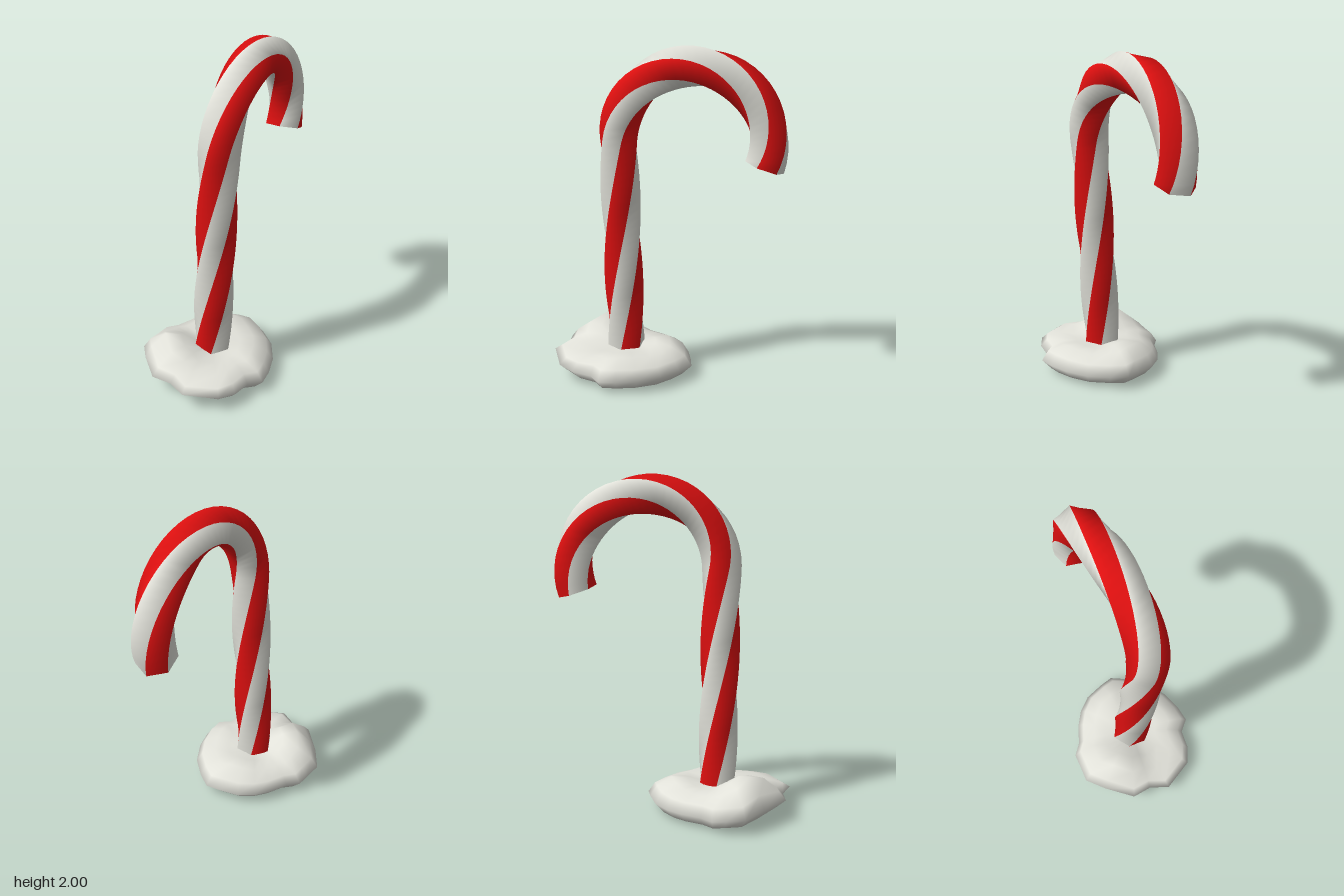
import * as THREE from 'three';

const red = new THREE.MeshStandardMaterial({ color: 0xe01010 });
red.name = 'stripe red';
const white = new THREE.MeshStandardMaterial({ color: 0xe2e2da });
white.name = 'sugar white';

// Cane centre line: leaning shaft, then an arch a little past a half circle
const ARCH = { x: 0.16, y: 1.46, r: 0.43 };
const START = 0.1, SHAFT = ARCH.y - START, SWEEP = THREE.MathUtils.degToRad(198);
const LENGTH = SHAFT + ARCH.r * SWEEP;

function centreLine(s) {
  if (s < SHAFT) {
    const t = s / SHAFT;
    return {
      p: new THREE.Vector3(-0.262 - 0.008 * t, START + s, -0.005 + 0.078 * t),
      out: new THREE.Vector3(-1, 0, 0),
    };
  }
  const a = (s - SHAFT) / ARCH.r;
  const out = new THREE.Vector3(-Math.cos(a), Math.sin(a), 0);
  const p = new THREE.Vector3(ARCH.x, ARCH.y, 0).addScaledVector(out, ARCH.r);
  // drifts forward at the shoulder, then back towards the tip
  p.z = 0.073 + 0.035 * Math.sin(Math.min(a, Math.PI / 2)) - 0.155 * (p.x + 0.27) / 0.86;
  return { p, out };
}

// Six-sided twisted bar; sides alternate between the two colours
function caneGeometry() {
  const rings = 60, sides = 6, radius = 0.117, twistRate = THREE.MathUtils.degToRad(112);
  const pos = [], idx = [[], []];
  for (let i = 0; i <= rings; i++) {
    const s = (LENGTH * i) / rings;
    const { p, out } = centreLine(s);
    const T = centreLine(s + 0.01).p.sub(centreLine(s - 0.01).p).normalize();
    const N = out.clone().addScaledVector(T, -out.dot(T)).normalize();
    const B = T.clone().cross(N);
    for (let j = 0; j < sides; j++) {
      const f = twistRate * (s - 0.05) + ((j - 0.5) * Math.PI) / 3;
      const v = p.clone().addScaledVector(N, radius * Math.cos(f)).addScaledVector(B, radius * Math.sin(f));
      pos.push(v.x, v.y, v.z);
    }
  }
  for (let i = 0; i < rings; i++)
    for (let j = 0; j < sides; j++) {
      const a = i * sides + j, b = i * sides + ((j + 1) % sides);
      idx[j % 2].push(a, b, b + sides, a, b + sides, a + sides);
    }
  // flat tip with its own corners
  const first = pos.length / 3;
  pos.push(...pos.slice(-sides * 3));
  for (let j = 1; j < sides - 1; j++) idx[1].push(first, first + j, first + j + 1);

  const g = new THREE.BufferGeometry();
  g.setAttribute('position', new THREE.Float32BufferAttribute(pos, 3));
  g.setIndex([...idx[0], ...idx[1]]);
  g.addGroup(0, idx[0].length, 0);
  g.addGroup(idx[0].length, idx[1].length, 1);
  g.computeVertexNormals();
  return g;
}

// Snow mound: an uneven outline scaled into rings from the underside to the top
function moundGeometry() {
  const cx = -0.265;
  const outline = [
    [-0.70, 0.11], [-0.59, 0.29], [-0.49, 0.335], [-0.37, 0.34], [-0.30, 0.40], [-0.20, 0.38], [-0.08, 0.33],
    [0.04, 0.24], [0.12, 0.12], [0.165, 0.02], [0.14, -0.06], [0.09, -0.18], [0.01, -0.26], [-0.08, -0.31],
    [-0.20, -0.35], [-0.27, -0.40], [-0.35, -0.395], [-0.46, -0.39], [-0.56, -0.29], [-0.68, -0.13], [-0.66, -0.01],
  ];
  const bump = (x, z, bx, bz, w) => Math.exp(-((x - bx) ** 2 + (z - bz) ** 2) / (w * w));
  const bottom = (x) => 0.4 * Math.max(0, -0.25 - x) ** 2;
  const top = (x, z) => 0.165 + 0.125 * bump(x, z, -0.47, -0.16, 0.15) + 0.045 * bump(x, z, -0.03, -0.06, 0.12)
    + 0.02 * bump(x, z, -0.2, 0.23, 0.1);
  // [outline scale, height between underside and top]
  const rows = [[0.001, 0], [0.6, 0], [0.86, 0.1], [1, 0.47], [0.9, 0.82], [0.68, 1], [0.45, 1], [0.22, 1], [0.001, 1]];
  const n = outline.length, pos = [], idx = [];
  for (const [k, t] of rows)
    for (const [ox, oz] of outline) {
      const x = cx + (ox - cx) * k, z = oz * k;
      pos.push(x, THREE.MathUtils.lerp(bottom(x), top(x, z), t), z);
    }
  for (let r = 0; r < rows.length - 1; r++)
    for (let j = 0; j < n; j++) {
      const a = r * n + j, b = r * n + ((j + 1) % n);
      idx.push(a, b, b + n, a, b + n, a + n);
    }
  const g = new THREE.BufferGeometry();
  g.setAttribute('position', new THREE.Float32BufferAttribute(pos, 3));
  g.setIndex(idx);
  g.computeVertexNormals();
  return g;
}

export function createModel() {
  const model = new THREE.Group();
  model.name = 'candyCane';
  const cane = new THREE.Mesh(caneGeometry(), [red, white]);
  cane.name = 'stripedCane';
  const mound = new THREE.Mesh(moundGeometry(), white);
  mound.name = 'snowMound';
  model.add(cane, mound);
  return model;
}
